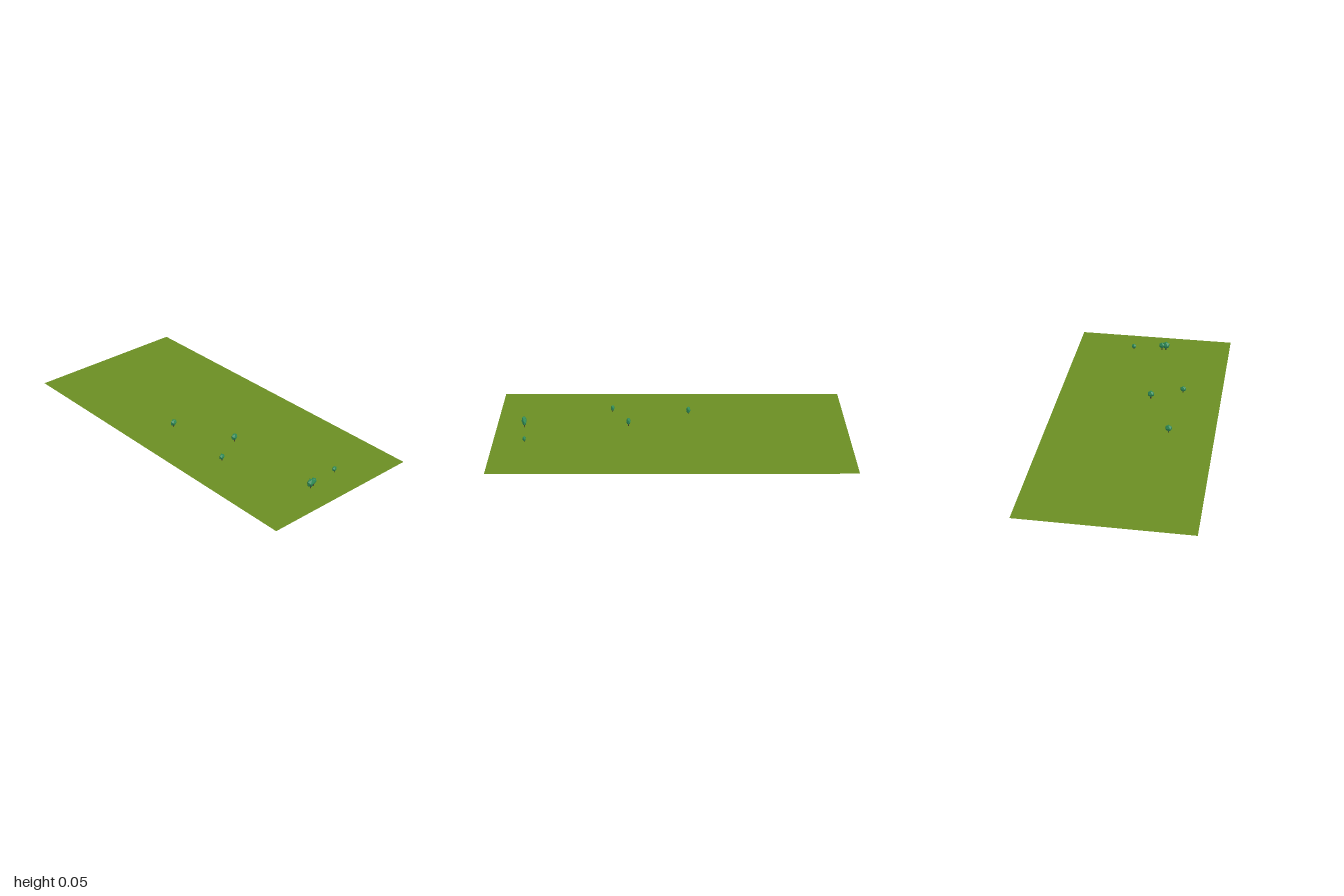
import * as THREE from 'three';

const crownMaterial = new THREE.MeshStandardMaterial({ color: 0x2e8b57, flatShading: true });
const trunkMaterial = new THREE.MeshStandardMaterial({ color: 0x4b3a2a, flatShading: true });
const groundMaterial = new THREE.MeshStandardMaterial({ color: 0x6b8e23, side: THREE.DoubleSide });

// [x, z, total height, half height of the crown]
const TREES = [
  [-0.096, 0.214, 0.045, 0.018],
  [0.248, 0.066, 0.049, 0.018],
  [0.346, 0.245, 0.039, 0.0155],
  [0.824, -0.122, 0.035, 0.0135],
  [0.846, 0.078, 0.053, 0.021],
  [0.842, 0.054, 0.048, 0.017],
];

// Tree with a faceted crown, narrower across x than along z
function createTree(height, half) {
  const tree = new THREE.Group();
  tree.name = 'tree';

  const crown = new THREE.Mesh(new THREE.IcosahedronGeometry(half / 0.851, 0), crownMaterial);
  crown.name = 'crown';
  crown.position.y = height - half;
  tree.add(crown);

  const trunkHeight = height - half;
  const trunkRadius = half * 0.2;
  const trunk = new THREE.Mesh(
    new THREE.CylinderGeometry(trunkRadius, trunkRadius, trunkHeight, 6), trunkMaterial);
  trunk.name = 'trunk';
  trunk.position.y = trunkHeight / 2;
  tree.add(trunk);

  tree.scale.x = 0.65;
  return tree;
}

export function createModel() {
  const model = new THREE.Group();
  model.name = 'meadow';

  // Flat field
  const ground = new THREE.Mesh(new THREE.PlaneGeometry(2, 0.947).rotateX(-Math.PI / 2), groundMaterial);
  ground.name = 'ground';
  model.add(ground);

  // Scattered trees
  for (const [x, z, height, half] of TREES) {
    const tree = createTree(height, half);
    tree.position.set(x, 0, z);
    model.add(tree);
  }
  return model;
}
